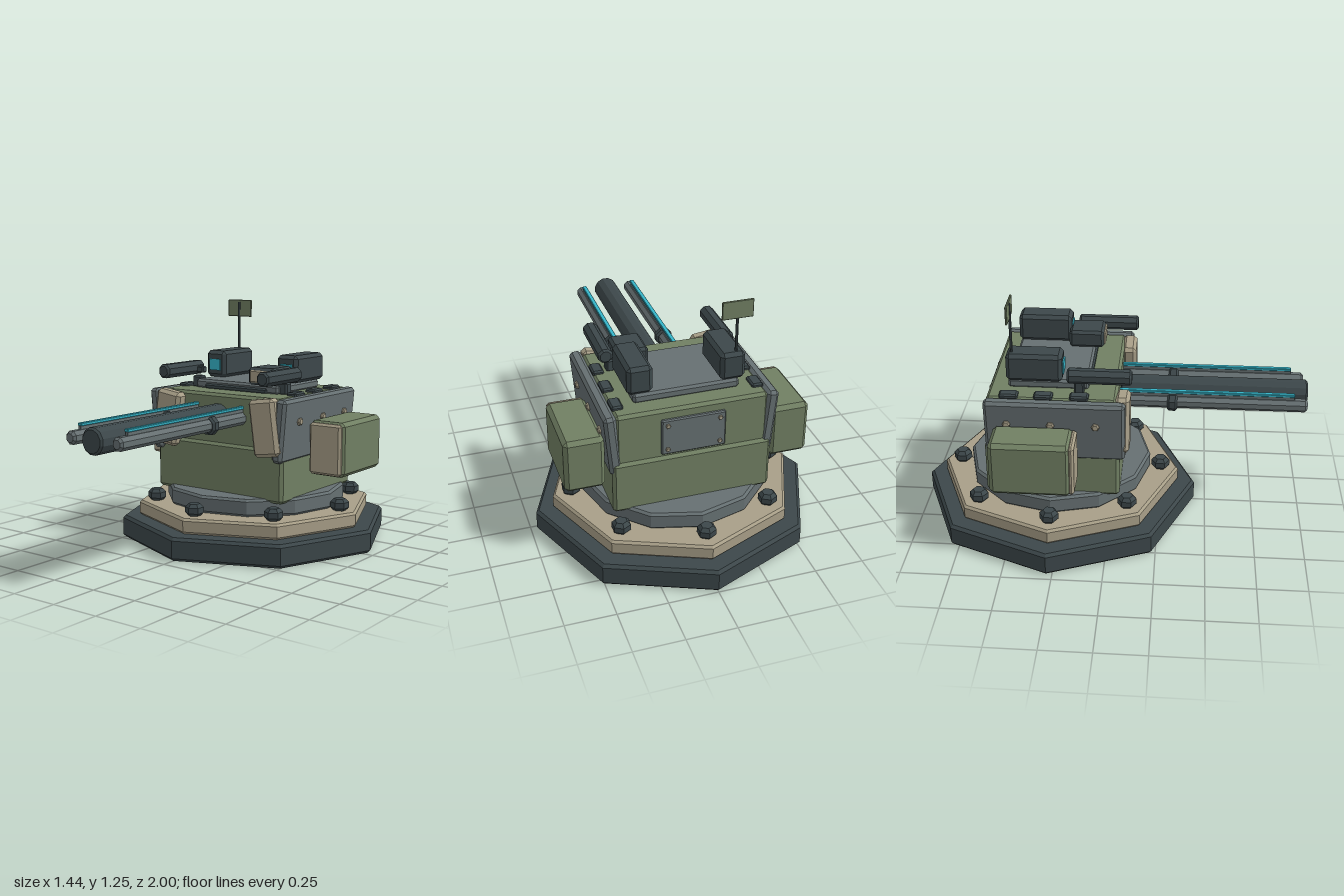
import * as THREE from 'three';
import { ConvexGeometry } from 'three/addons/geometries/ConvexGeometry.js';

const paint = (name, color) => {
  const m = new THREE.MeshStandardMaterial({ color, flatShading: true });
  m.name = name;
  return m;
};

export function createModel() {
  const dark = paint('dark steel', 0x3c474a);
  const grey = paint('grey armour', 0x667072);
  const green = paint('olive green', 0x718063);
  const tan = paint('sand tan', 0xa89f88);
  const cyan = paint('cyan glow', 0x35b5c9);

  const model = new THREE.Group();
  model.name = 'turret';

  const add = (name, geometry, material, x = 0, y = 0, z = 0, parent = model) => {
    const mesh = new THREE.Mesh(geometry, material);
    mesh.name = name;
    mesh.position.set(x, y, z);
    parent.add(mesh);
    return mesh;
  };

  // Box with chamfered edges, centred on the origin
  const chamferBox = (w, h, d, c = 0.015) => {
    const pts = [];
    for (const x of [-1, 1]) for (const y of [-1, 1]) for (const z of [-1, 1]) {
      const [a, b, e] = [x * w / 2, y * h / 2, z * d / 2];
      pts.push(new THREE.Vector3(a, b - y * c, e - z * c),
        new THREE.Vector3(a - x * c, b, e - z * c),
        new THREE.Vector3(a - x * c, b - y * c, e));
    }
    return new ConvexGeometry(pts);
  };
  // Chamfered box given by its extents
  const block = (name, mat, x0, x1, y0, y1, z0, z1, c) =>
    add(name, chamferBox(x1 - x0, y1 - y0, z1 - z0, c), mat, (x0 + x1) / 2, (y0 + y1) / 2, (z0 + z1) / 2);

  // Faceted disc with chamfered rims, standing on y = 0
  const disc = (r, h, sides, c) => new THREE.LatheGeometry([
    new THREE.Vector2(0, 0), new THREE.Vector2(r - c, 0), new THREE.Vector2(r, c),
    new THREE.Vector2(r, h - c), new THREE.Vector2(r - c, h), new THREE.Vector2(0, h)], sides);
  // The same form lying along +z
  const rod = (r, length, sides = 8, c = 0.01) =>
    disc(r, length, sides, c).rotateY(Math.PI / sides).rotateX(Math.PI / 2);

  // Stepped base
  const cz = -0.28;
  add('basePlinth', disc(0.72, 0.12, 8, 0.015), dark, 0, 0, cz);
  add('baseStep', disc(0.63, 0.08, 8, 0.012), tan, 0, 0.12, cz);
  add('turntable', disc(0.48, 0.09, 12, 0.012), grey, 0, 0.2, cz);
  for (let i = 0; i < 8; i++) {
    const a = i * Math.PI / 4;
    add('baseBolt', disc(0.048, 0.065, 6, 0.018), dark, Math.sin(a) * 0.535, 0.197, cz + Math.cos(a) * 0.535);
  }

  // Hull
  block('lowerHull', green, -0.4, 0.4, 0.27, 0.545, -0.61, 0.06);
  block('upperHull', green, -0.38, 0.38, 0.53, 0.8, -0.595, 0.045);
  block('roofPlate', grey, -0.265, 0.265, 0.795, 0.845, -0.5, -0.1, 0.012);
  block('roofLip', dark, -0.2, 0.2, 0.795, 0.825, -0.12, -0.092, 0.008);
  block('rearHatch', grey, -0.16, 0.16, 0.56, 0.75, -0.612, -0.59, 0.006);
  for (const x of [-0.13, 0.13]) for (const y of [0.59, 0.72])
    add('hatchBolt', rod(0.012, 0.012, 6, 0.003), tan, x, y, -0.621);

  for (const s of [-1, 1]) {
    // Leaning side armour with screws
    const side = add('sideArmour', chamferBox(0.06, 0.32, 0.69, 0.015), grey, s * 0.392, 0.642, -0.257);
    side.rotation.z = -s * 0.09;
    for (const z of [-0.055, -0.275, -0.49])
      add('armourScrew', disc(0.02, 0.025, 6, 0.006).rotateZ(-s * Math.PI / 2), tan, s * 0.415, 0.682, z);

    // Tilted front armour
    const front = add('frontArmour', chamferBox(0.155, 0.29, 0.075, 0.018), tan, s * 0.312, 0.655, 0.07);
    front.rotation.z = s * 0.14;

    // Roof vents
    for (const z of [-0.485, -0.315, -0.14])
      block('roofVent', dark, s * 0.35 - 0.029, s * 0.35 + 0.029, 0.79, 0.817, z - 0.046, z + 0.046, 0.008);

    // Side pod with front cover
    block('sidePod', green, s * 0.52 - 0.1, s * 0.52 + 0.1, 0.395, 0.675, -0.555, -0.16, 0.02);
    block('podCover', tan, s * 0.52 - 0.092, s * 0.52 + 0.092, 0.403, 0.667, -0.175, -0.143, 0.012);

    // Sight box with lens
    block('sight', dark, s * 0.231 - 0.063, s * 0.231 + 0.063, 0.845, 0.988, -0.505, -0.228, 0.018);
    add('sightLens', new THREE.BoxGeometry(0.07, 0.06, 0.008), cyan, s * 0.231, 0.913, -0.225);

    // Roof tube on its bracket
    add('roofTube', rod(0.039, 0.315, 8), dark, s * 0.314, 0.9, -0.2);
    block('tubeBracket', dark, s * 0.275 - 0.03, s * 0.275 + 0.03, 0.795, 0.86, -0.17, -0.12, 0.008);
    block('tubeArm', dark, s * 0.27 - 0.03, s * 0.27 + 0.03, 0.875, 0.91, -0.165, -0.13, 0.006);

    // Side rail gun with collar and glowing rail
    const gx = s * 0.143;
    add('sideBarrel', rod(0.034, 0.945, 8, 0.012), grey, gx, 0.685, 0.04);
    add('barrelCollar', rod(0.048, 0.05, 8, 0.01), dark, gx, 0.683, 0.285);
    block('railSupport', grey, gx - 0.008, gx + 0.008, 0.71, 0.735, 0.04, 0.92, 0.002);
    block('glowRail', cyan, gx - 0.012, gx + 0.012, 0.732, 0.747, 0.04, 0.92, 0.003);
  }

  // Main barrel
  add('mainBarrel', rod(0.065, 0.955, 12, 0.01), dark, 0, 0.685, 0.04);

  // Sensor box with front cover
  block('sensorBox', dark, 0.107, 0.267, 0.845, 0.935, -0.235, -0.055, 0.014);
  block('sensorCover', tan, 0.125, 0.25, 0.858, 0.922, -0.065, -0.047, 0.006);

  // Antenna
  add('antennaMast', new THREE.CylinderGeometry(0.007, 0.007, 0.27, 6), dark, -0.25, 1.108, -0.478);
  block('antennaPanel', green, -0.327, -0.17, 1.162, 1.255, -0.488, -0.478, 0.003);

  return model;
}
